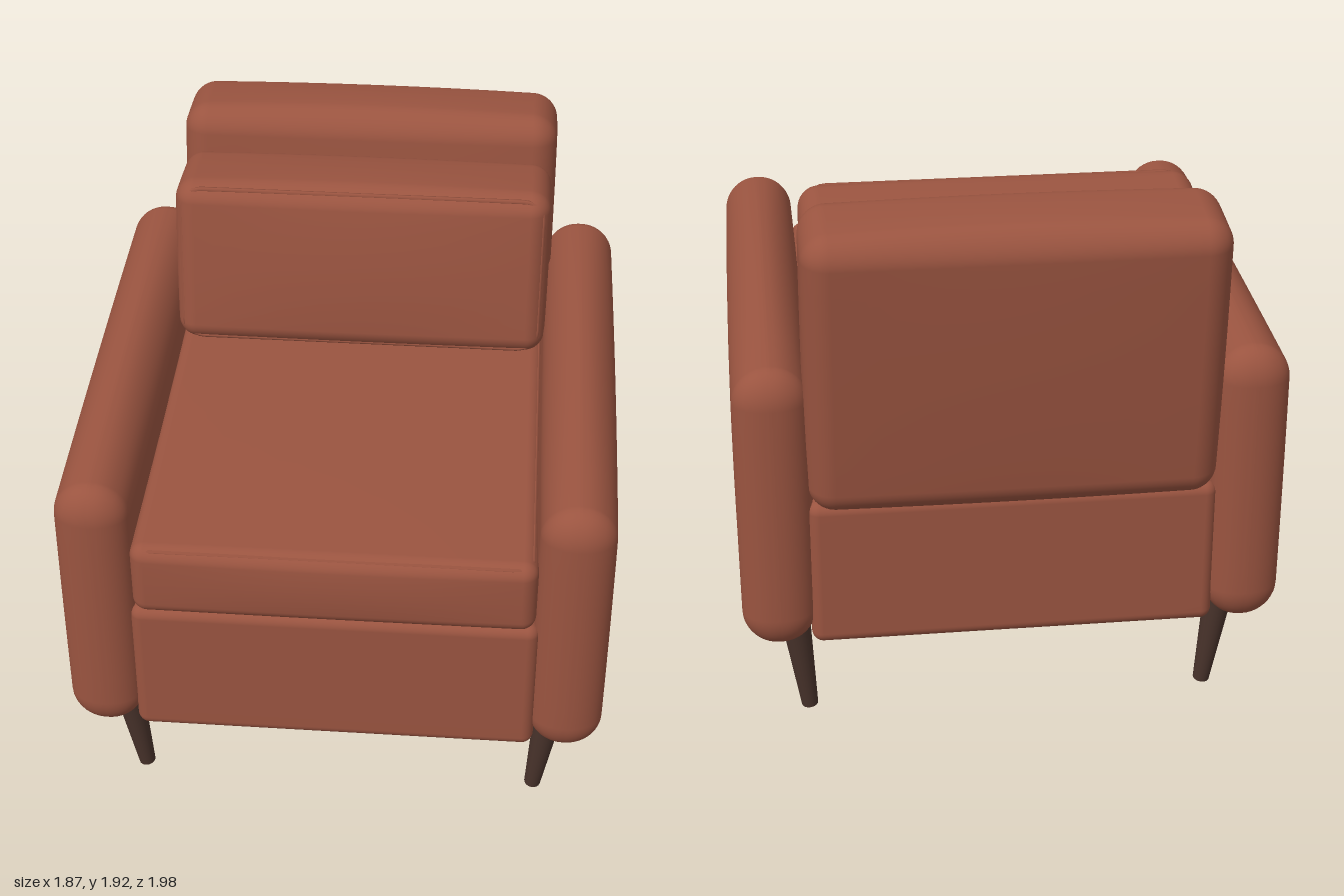
import * as THREE from 'three';
import { mergeVertices } from 'three/addons/utils/BufferGeometryUtils.js';

const upholstery = new THREE.MeshStandardMaterial({ color: 0x9a5440 });
upholstery.name = 'russet upholstery';
const wood = new THREE.MeshStandardMaterial({ color: 0x4a342c });
wood.name = 'dark wood';

// Rounded box with a separate edge radius and a gentle bulge for each axis
function paddedBox(size, radius, bulge) {
  const N = 18, CORE = 4, EDGE = N / 2 - CORE;
  let g = new THREE.BoxGeometry(N, N, N, N, N, N);
  g.deleteAttribute('uv');
  g.deleteAttribute('normal');
  g = mergeVertices(g, 1e-3);
  const pos = g.attributes.position;
  const half = size.map((s) => s / 2);
  for (let i = 0; i < pos.count; i++) {
    const grid = [pos.getX(i), pos.getY(i), pos.getZ(i)].map(Math.round);
    const core = grid.map((v) => THREE.MathUtils.clamp(v / CORE, -1, 1));
    const dir = grid.map((v) =>
      Math.sign(v) * Math.tan((Math.max(0, Math.abs(v) - CORE) / EDGE) * Math.PI / 4));
    const len = Math.hypot(...dir);
    const p = core.map((c, k) => c * (half[k] - radius[k]) + radius[k] * dir[k] / len);
    const swell = p.map((v, k) => 1 - (v / half[k]) ** 2);
    const out = p.map((v, k) =>
      v + bulge[k] * dir[k] / len * swell[(k + 1) % 3] * swell[(k + 2) % 3]);
    pos.setXYZ(i, ...out);
  }
  g.computeVertexNormals();
  return g;
}

// Closed piping cord around a rounded rectangle lying in the XY plane
function piping(w, h, r, thickness) {
  const pts = [];
  [[1, 1], [-1, 1], [-1, -1], [1, -1]].forEach(([sx, sy], q) => {
    for (let i = 0; i <= 5; i++) {
      const a = (q + i / 5) * Math.PI / 2;
      pts.push(new THREE.Vector3(
        sx * (w / 2 - r) + r * Math.cos(a), sy * (h / 2 - r) + r * Math.sin(a), 0));
    }
  });
  const path = new THREE.CatmullRomCurve3(pts, true, 'catmullrom', 0);
  return new THREE.TubeGeometry(path, 160, thickness, 6, true);
}

export function createModel() {
  const model = new THREE.Group();
  model.name = 'armchair';

  function add(name, geometry, material, position, parent = model) {
    const mesh = new THREE.Mesh(geometry, material);
    mesh.name = name;
    mesh.position.set(...position);
    parent.add(mesh);
    return mesh;
  }

  // Base box under the seat
  add('base', paddedBox([1.38, 0.54, 1.82], [0.04, 0.04, 0.04], [0, 0, 0]),
    upholstery, [0, 0.63, 0.05]);

  // Seat cushion with a cord along its top edge
  add('seatCushion', paddedBox([1.35, 0.28, 1.54], [0.05, 0.05, 0.05], [0, 0.01, 0.015]),
    upholstery, [0, 1.04, 0.21]);
  const seatPiping = add('seatPiping', piping(1.31, 1.5, 0.05, 0.009), upholstery, [0, 1.162, 0.21]);
  seatPiping.rotation.x = Math.PI / 2;

  // Reclined backrest
  const back = add('backrest', paddedBox([1.37, 1.02, 0.36], [0.09, 0.09, 0.09], [0.005, 0.02, 0.01]),
    upholstery, [0, 1.39, -0.765]);
  back.rotation.x = -0.1;

  // Loose back cushion with a cord around its front panel
  const backCushion = new THREE.Group();
  backCushion.name = 'backCushion';
  backCushion.position.set(0, 1.495, -0.405);
  backCushion.rotation.x = -0.13;
  model.add(backCushion);
  add('backPad', paddedBox([1.34, 0.62, 0.38], [0.07, 0.07, 0.08], [0.005, 0.015, 0.02]),
    upholstery, [0, 0, 0], backCushion);
  add('backPadPiping', piping(1.29, 0.58, 0.07, 0.009), upholstery, [0, 0, 0.165], backCushion);

  // Arms and tapered legs, mirrored left and right
  const armGeometry = paddedBox([0.25, 1.03, 1.875], [0.12, 0.12, 0.09], [0.012, 0.02, 0]);
  for (const [side, s] of [['left', 1], ['right', -1]]) {
    add(side + 'Arm', armGeometry, upholstery, [s * 0.797, 0.875, 0.048]);

    for (const [end, zTop, zFoot] of [['Front', 0.815, 0.775], ['Back', -0.715, -0.675]]) {
      const top = new THREE.Vector3(s * 0.748, 0.42, zTop);
      const foot = new THREE.Vector3(s * 0.705, 0.003, zFoot);
      const leg = add(side + end + 'Leg',
        new THREE.CylinderGeometry(0.053, 0.029, top.distanceTo(foot), 20), wood,
        top.clone().add(foot).multiplyScalar(0.5).toArray());
      leg.quaternion.setFromUnitVectors(new THREE.Vector3(0, 1, 0), top.clone().sub(foot).normalize());
    }
  }
  return model;
}
